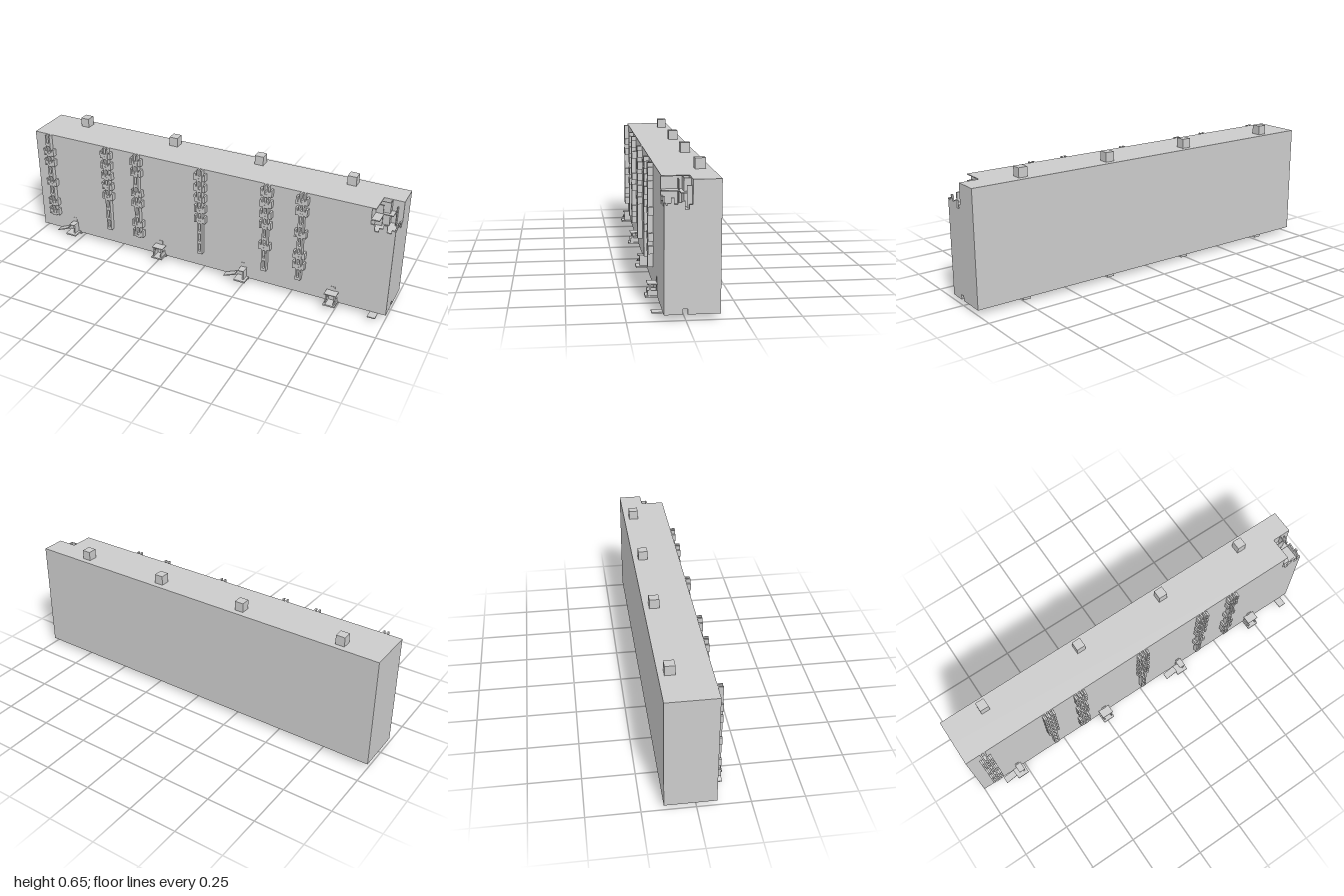
import * as THREE from 'three';

const material = new THREE.MeshStandardMaterial({ color: 0xcccccc, flatShading: true });
const sheet = new THREE.MeshStandardMaterial({ color: 0xcccccc, flatShading: true, side: THREE.DoubleSide });

// Box given by its min and max on each axis
function block(parent, name, x0, x1, y0, y1, z0, z1) {
  const mesh = new THREE.Mesh(new THREE.BoxGeometry(x1 - x0, y1 - y0, z1 - z0), material);
  mesh.position.set((x0 + x1) / 2, (y0 + y1) / 2, (z0 + z1) / 2);
  mesh.name = name;
  parent.add(mesh);
  return mesh;
}

// Extrude an outline in x/y along z
function slab(parent, name, points, z0, z1) {
  const shape = new THREE.Shape(points.map(([x, y]) => new THREE.Vector2(x, y)));
  const mesh = new THREE.Mesh(new THREE.ExtrudeGeometry(shape, { depth: z1 - z0, bevelEnabled: false }), material);
  mesh.position.z = z0;
  mesh.name = name;
  parent.add(mesh);
  return mesh;
}

const BOTTOM = 0.026, CEILING = 0.051, TOP = 0.6, BACK = -0.148, FRONT = 0.093;
const CUT_X = 0.88, CUT_Z = -0.027, CUT_Y = 0.475;

function buildBody() {
  const body = new THREE.Group();
  body.name = 'buildingBody';
  // Rear part is whole, front part has its upper corner missing
  block(body, 'rearMass', -1, 1, CEILING, TOP, BACK, CUT_Z);
  slab(body, 'frontMass', [[-1, CEILING], [1, CEILING], [1, CUT_Y], [CUT_X, CUT_Y], [CUT_X, TOP], [-1, TOP]], CUT_Z, FRONT);
  // Skirt walls around the shallow hollow underneath
  const t = 0.012;
  block(body, 'frontSkirt', -1, 1, BOTTOM, CEILING, FRONT - t, FRONT);
  block(body, 'backSkirt', -1, 1, BOTTOM, CEILING, BACK, BACK + t);
  block(body, 'rightSkirt', -1, -1 + t, BOTTOM, CEILING, BACK + t, FRONT - t);
  // Left skirt is split by a small opening
  block(body, 'leftSkirtBack', 1 - t, 1, BOTTOM, CEILING, BACK + t, -0.008);
  block(body, 'leftSkirtFront', 1 - t, 1, BOTTOM, CEILING, 0.013, FRONT - t);
  return body;
}

function buildBrokenCorner() {
  const corner = new THREE.Group();
  corner.name = 'brokenCorner';
  // Jagged remains of the outer walls
  const frontEdge = [[CUT_X, 0.513], [0.9, 0.513], [0.9, CUT_Y + 0.004], [0.92, CUT_Y + 0.004], [0.92, 0.5], [0.94, 0.5],
    [0.94, 0.522], [0.96, 0.522], [0.96, 0.486], [0.98, 0.486], [0.98, 0.503], [1, 0.503]];
  slab(corner, 'jaggedFrontWall', [[CUT_X, CUT_Y], [1, CUT_Y], ...frontEdge.slice().reverse()], FRONT - 0.008, FRONT);
  const sideHeights = [[0.085, 0.078, 0.494], [0.078, 0.064, 0.502], [0.064, 0.05, 0.525], [0.05, 0.035, 0.497],
    [0.035, 0.018, 0.505], [0.018, 0.004, 0.51], [-0.012, -0.027, 0.495]];
  for (const [z1, z0, y] of sideHeights) block(corner, 'jaggedSideWall', 0.992, 1, CUT_Y, y, z0, z1);
  // Exposed storey floor, broken off in steps, and a roof remnant
  block(corner, 'exposedFloor', CUT_X, 0.92, 0.535, 0.54, CUT_Z, FRONT);
  block(corner, 'exposedFloor', 0.92, 0.965, 0.535, 0.54, CUT_Z, 0.02);
  block(corner, 'roofRemnant', CUT_X, 0.9, 0.596, TOP, CUT_Z, FRONT);
  // Standing partitions
  block(corner, 'partition', CUT_X, 0.945, CUT_Y, 0.596, 0, 0.004);
  block(corner, 'partition', CUT_X, 0.915, CUT_Y, 0.585, 0.018, 0.022);
  block(corner, 'partition', 0.94, 0.944, CUT_Y, 0.596, CUT_Z, 0.004);
  block(corner, 'partition', 0.97, 0.974, CUT_Y, 0.57, CUT_Z, -0.005);
  return corner;
}

// Ladder of eight cells: '#' has a clamp around the spine, '-' only the spine
function buildLadder(x, cells) {
  const ladder = new THREE.Group();
  ladder.name = 'facadeLadder';
  const pitch = 0.061, z1 = 0.118;
  for (const s of [-1, 1]) block(ladder, 'rail', s * 0.01 - 0.004, s * 0.01 + 0.004, 0.112, TOP, FRONT, z1);
  [...cells].forEach((cell, i) => {
    const y1 = TOP - i * pitch, y0 = y1 - pitch;
    block(ladder, 'rung', -0.014, 0.014, y0, y0 + 0.016, FRONT, z1);
    if (cell !== '#') return;
    for (const s of [-1, 1]) block(ladder, 'clampUpright', s * 0.026 - 0.005, s * 0.026 + 0.005, y0 + 0.004, y0 + 0.042, FRONT, z1);
    block(ladder, 'clampBar', -0.031, 0.031, y0 + 0.004, y0 + 0.03, FRONT, z1 - 0.002);
  });
  ladder.position.x = x;
  return ladder;
}

function buildPorch(x, hasRamp) {
  const porch = new THREE.Group();
  porch.name = 'entrance';
  block(porch, 'doorstep', -0.031, 0.031, 0.026, 0.034, FRONT, 0.148);
  block(porch, 'doorFrame', -0.012, 0.012, 0.034, 0.113, FRONT, 0.095);
  if (hasRamp) {
    // Sloping access ramp beside a low side wall
    slab(porch, 'ramp', [[-0.095, 0.028], [-0.031, 0.052], [-0.031, 0.058], [-0.095, 0.032]], 0.1, 0.135);
    block(porch, 'sideWall', 0.01, 0.018, 0.034, 0.087, FRONT, 0.13);
  } else {
    for (const s of [-1, 1]) {
      block(porch, 'post', s * 0.022 - 0.004, s * 0.022 + 0.004, 0.034, 0.085, 0.122, 0.13);
      block(porch, 'sideWall', s * 0.022 - 0.003, s * 0.022 + 0.003, 0.034, 0.058, FRONT, 0.138);
    }
  }
  block(porch, 'canopy', hasRamp ? -0.012 : -0.031, hasRamp ? 0.02 : 0.031, 0.085, 0.089, FRONT, 0.138);
  porch.position.x = x;
  return porch;
}

export function createModel() {
  const model = new THREE.Group();
  model.name = 'apartmentBlock';
  model.add(buildBody(), buildBrokenCorner());

  const ladders = [[-0.91, '-##-#-##'], [-0.55, '#####---'], [-0.37, '##-##-##'],
    [0, '#####---'], [0.36, '####-#--'], [0.545, '##-#-##-']];
  for (const [x, cells] of ladders) model.add(buildLadder(x, cells));

  // Four stair sections: entrance, roof box and two feet each
  [-0.79, -0.245, 0.24, 0.725].forEach((x, i) => {
    model.add(buildPorch(x, i % 2 === 0));
    block(model, 'roofBox', x - 0.023, x + 0.023, TOP, 0.648, -0.12, -0.072);
    block(model, 'frontFoot', x - 0.02, x + 0.02, 0, CEILING, 0.02, 0.073);
    block(model, 'rearFoot', x - 0.02, x + 0.02, 0, CEILING, -0.116, -0.075);
  });
  block(model, 'cellarStep', 0.92, 0.96, 0.022, 0.027, 0.075, 0.14);
  return model;
}
